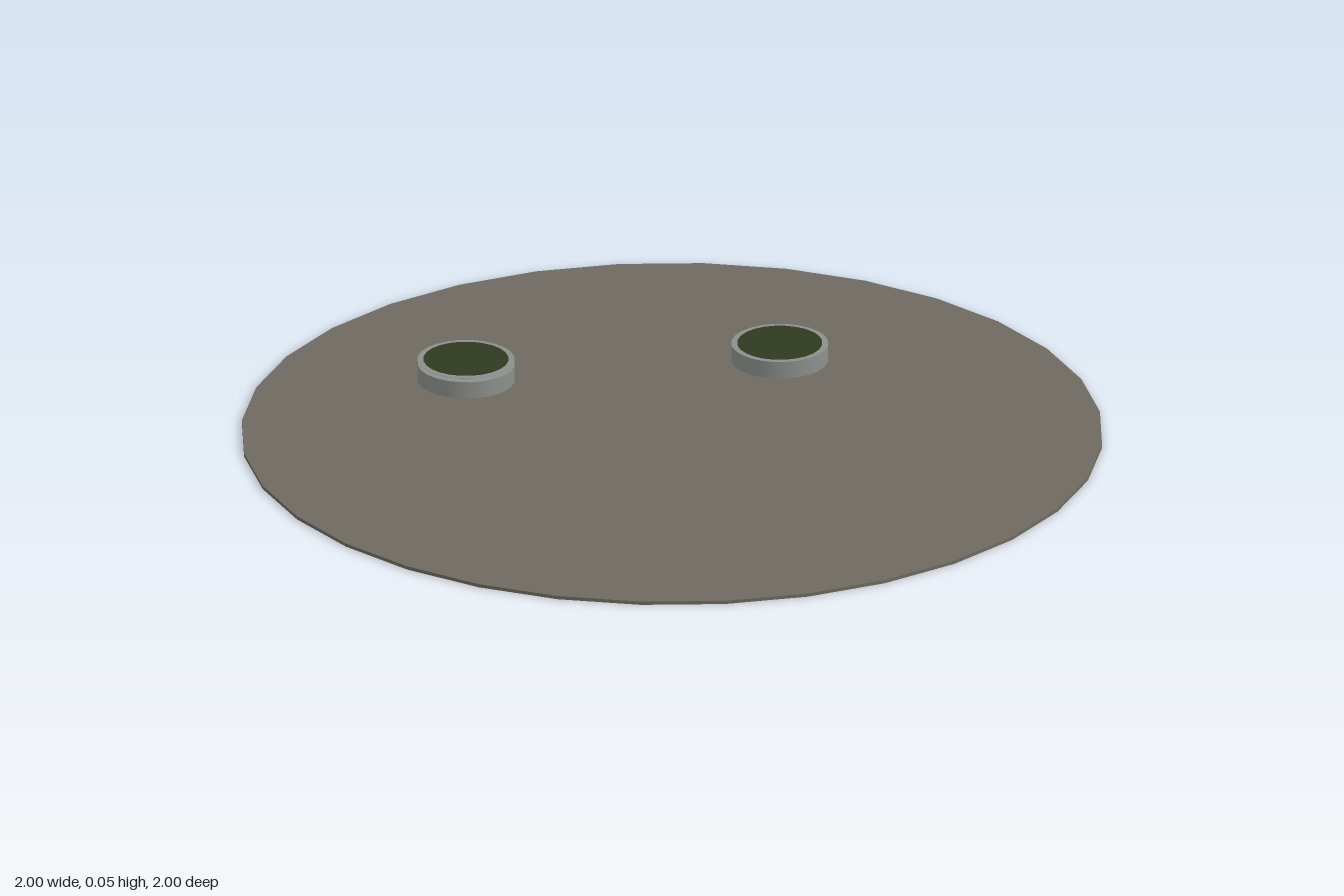
import * as THREE from 'three';

const BASE_H = 0.008;
const TOP = 0.05;

function cylinder(name, radius, y0, y1, sides, color, x = 0, z = 0) {
  const mesh = new THREE.Mesh(
    new THREE.CylinderGeometry(radius, radius, y1 - y0, sides),
    new THREE.MeshStandardMaterial({ color })
  );
  mesh.name = name;
  mesh.position.set(x, (y0 + y1) / 2, z);
  return mesh;
}

export function createModel() {
  const model = new THREE.Group();
  model.name = 'discWithPools';

  // Thin round ground plate
  model.add(cylinder('groundDisc', 1, 0, BASE_H, 32, 0x6e6a60));

  // Stone drum left showing behind the back pool
  model.add(cylinder('offsetDrum', 0.113, BASE_H / 2, TOP - 0.001, 24, 0x8c908c, -0.047, -0.568));

  // Two pools: a stone drum topped by a dark green surface
  for (const [name, x, z] of [['backPool', -0.029, -0.583], ['sidePool', 0.493, -0.067]]) {
    const pool = new THREE.Group();
    pool.name = name;
    pool.position.set(x, 0, z);
    pool.add(cylinder('drum', 0.113, BASE_H / 2, TOP - 0.0005, 24, 0x8c908c));
    pool.add(cylinder('greenSurface', 0.099, TOP - 0.01, TOP + 0.001, 24, 0x2f3a1e));
    model.add(pool);
  }

  return model;
}
